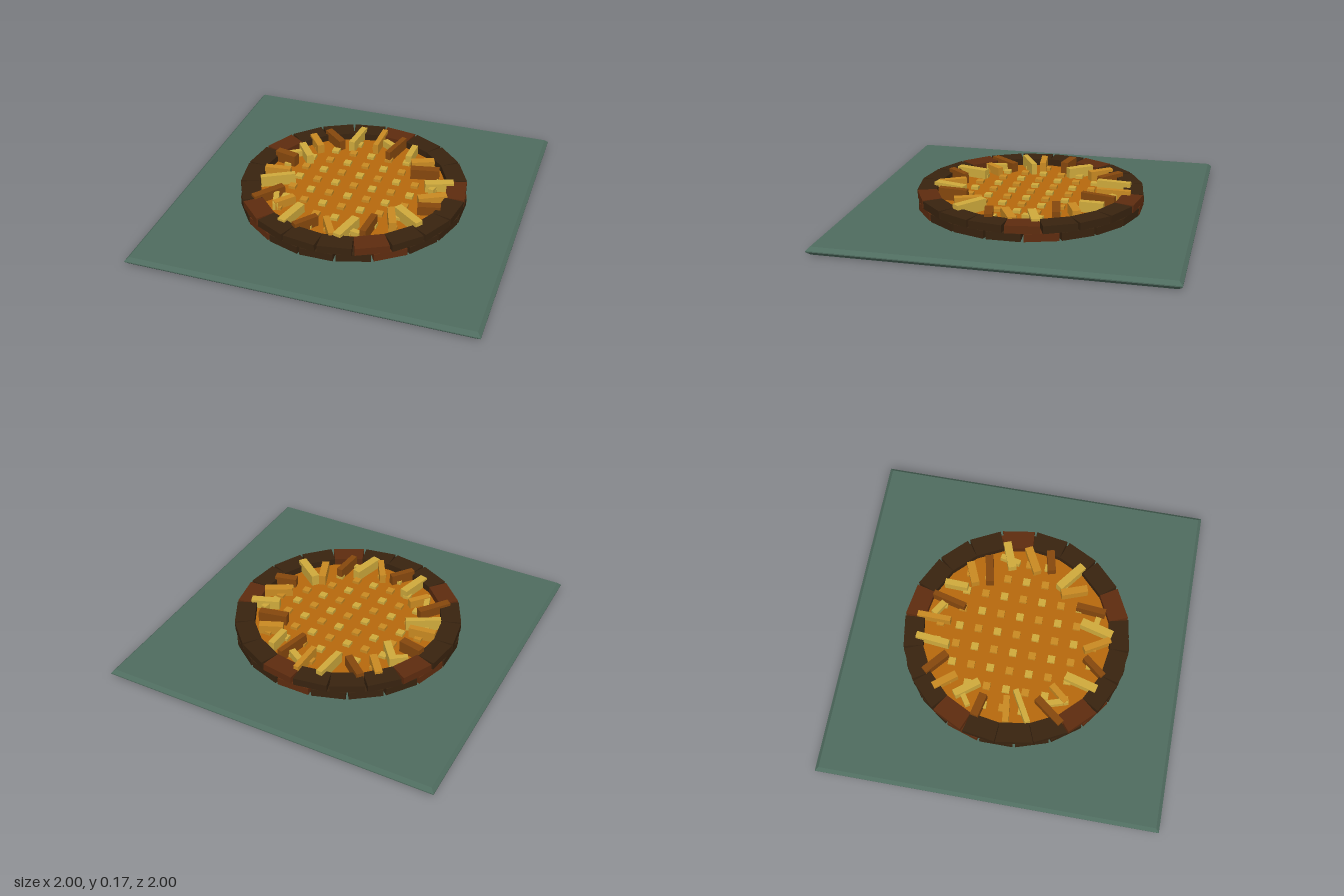
import * as THREE from 'three';

const mat = (name, color) => {
  const m = new THREE.MeshStandardMaterial({ color });
  m.name = name;
  return m;
};

export function createModel() {
  const group = new THREE.Group();
  const green = mat('base green', 0x4f6c5f);
  const dark = mat('dark brick', 0x38230f);
  const russet = mat('russet brick', 0x5e2c0f);
  const orange = mat('orange bed', 0xb6690d);
  const straw = mat('pale straw', 0xcfaa3c);
  const amber = mat('amber straw', 0xc98a22);
  const brown = mat('brown straw', 0x85470d);

  const add = (name, geometry, material, x, y, z, turn = 0) => {
    const mesh = new THREE.Mesh(geometry, material);
    mesh.name = name;
    mesh.position.set(x, y, z);
    mesh.rotation.y = turn;
    group.add(mesh);
    return mesh;
  };

  // square slab with chamfered edges
  const h = 0.98;
  const square = new THREE.Shape([[-h, -h], [h, -h], [h, h], [-h, h]].map(p => new THREE.Vector2(...p)));
  const slab = new THREE.ExtrudeGeometry(square, {
    depth: 0.006, bevelEnabled: true, bevelSize: 0.02, bevelThickness: 0.02, bevelSegments: 1,
  });
  slab.rotateX(-Math.PI / 2);
  slab.translate(0, 0.02, 0);
  add('baseSlab', slab, green, 0, 0, 0);

  // two staggered courses of wedge bricks
  const count = 20, step = Math.PI * 2 / count, inner = 0.55, outer = 0.665;
  const brick = new THREE.BoxGeometry(outer - inner, 0.045, 0.195);
  const pos = brick.attributes.position;
  for (let i = 0; i < pos.count; i++) {
    if (pos.getX(i) < 0) pos.setZ(i, Math.sign(pos.getZ(i)) * inner * Math.tan(step / 2));
  }
  brick.computeVertexNormals();
  for (let course = 0; course < 2; course++) {
    for (let i = 0; i < count; i++) {
      const a = (i + (course ? 0.5 : 1)) * step, r = (inner + outer) / 2;
      add('rimBrick', brick, i % 4 === 0 ? russet : dark,
        Math.cos(a) * r, 0.0685 + course * 0.0455, -Math.sin(a) * r, a);
    }
  }

  // round bed inside the rim
  add('bed', new THREE.CylinderGeometry(0.56, 0.56, 0.05, 40), orange, 0, 0.07, 0);

  // grid of small studs on the bed
  const stud = new THREE.BoxGeometry(0.043, 0.02, 0.043);
  for (let i = -4; i <= 4; i++) {
    for (let j = -4; j <= 4; j++) {
      const x = i * 0.115, z = j * 0.115;
      if (Math.hypot(x, z) < 0.5) add('stud', stud, (i + j) % 2 ? straw : amber, x, 0.103, z);
    }
  }

  // scattered sticks: x1, z1, x2, z2, width
  const sticks = (name, material, top, list) => list.forEach(([x1, z1, x2, z2, w], i) => {
    const dx = x2 - x1, dz = z2 - z1;
    const height = top - (i % 3) * 0.007 - 0.095;
    add(name, new THREE.BoxGeometry(Math.hypot(dx, dz), height, w), material,
      (x1 + x2) / 2, 0.095 + height / 2, (z1 + z2) / 2, Math.atan2(-dz, dx));
  });
  sticks('paleStick', straw, 0.164, [
    [-0.14, -0.38, -0.12, -0.58, 0.037], [0.24, -0.34, 0.245, -0.48, 0.037],
    [0.41, -0.1, 0.57, -0.16, 0.048], [0.33, 0.2, 0.49, 0.32, 0.048],
    [0.135, 0.37, 0.085, 0.56, 0.048], [-0.21, 0.33, -0.26, 0.52, 0.048],
    [-0.35, 0.06, -0.53, 0.16, 0.032], [-0.435, -0.29, -0.335, -0.16, 0.043],
  ]);
  sticks('amberStick', amber, 0.16, [
    [0.01, -0.4, 0.015, -0.6, 0.032], [0.27, -0.3, 0.4, -0.355, 0.048],
    [0.41, 0.055, 0.56, -0.025, 0.048], [0.295, 0.22, 0.35, 0.37, 0.043],
    [-0.03, 0.41, 0.055, 0.555, 0.037], [-0.28, 0.26, -0.365, 0.36, 0.037],
    [-0.395, 0.015, -0.55, 0.035, 0.037], [-0.41, -0.42, -0.315, -0.3, 0.043],
  ]);
  sticks('brownStick', brown, 0.167, [
    [0.11, -0.33, 0.16, -0.53, 0.032], [0.29, -0.215, 0.46, -0.25, 0.048],
    [0.43, 0.14, 0.56, 0.11, 0.048], [0.23, 0.325, 0.215, 0.5, 0.037],
    [-0.08, 0.425, -0.175, 0.545, 0.037], [-0.375, 0.19, -0.5, 0.35, 0.043],
    [-0.41, -0.12, -0.545, -0.15, 0.048], [-0.33, -0.49, -0.2, -0.38, 0.043],
  ]);
  // shorter sticks tucked underneath
  sticks('lowStick', straw, 0.14, [
    [0.04, -0.51, 0.12, -0.46, 0.037], [0.455, -0.06, 0.48, -0.18, 0.032],
    [0.13, 0.455, 0.19, 0.465, 0.032], [-0.395, 0.245, -0.355, 0.37, 0.032],
    [-0.485, -0.2, -0.395, -0.26, 0.03],
  ]);
  return group;
}
